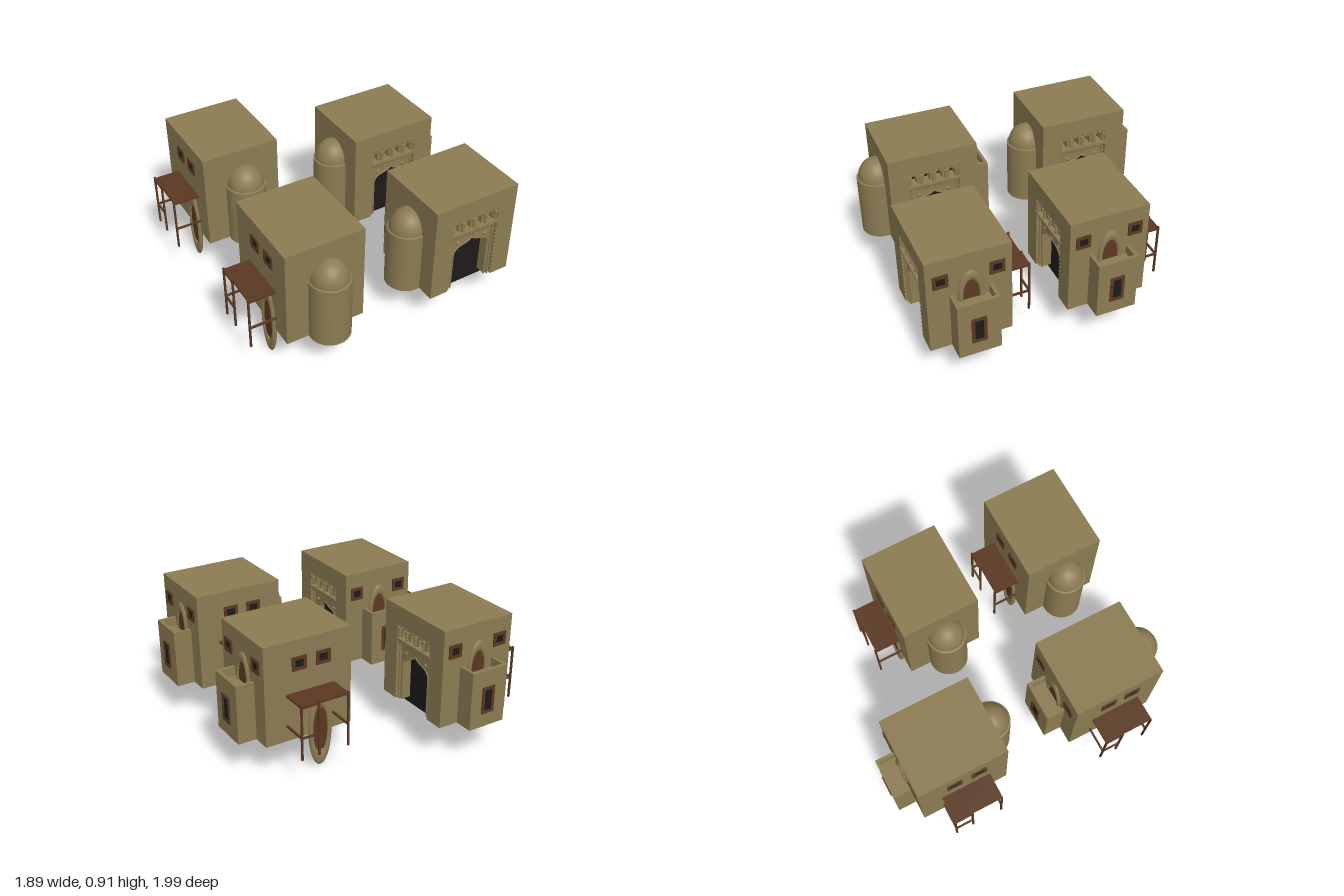
import * as THREE from 'three';

const mat = (color) => new THREE.MeshStandardMaterial({ color, side: THREE.DoubleSide });
const clay = mat(0x8b7b52), wood = mat(0x5a3822), dark = mat(0x1c1b1a);

function add(parent, name, geometry, material, x = 0, y = 0, z = 0) {
  const mesh = new THREE.Mesh(geometry, material);
  mesh.name = name;
  mesh.position.set(x, y, z);
  parent.add(mesh);
  return mesh;
}

// box given by its limits on each axis
function block(parent, name, material, [x0, x1], [y0, y1], [z0, z1]) {
  return add(parent, name, new THREE.BoxGeometry(x1 - x0, y1 - y0, z1 - z0), material,
    (x0 + x1) / 2, (y0 + y1) / 2, (z0 + z1) / 2);
}

function rectPath(x0, y0, x1, y1) {
  const p = new THREE.Path();
  p.moveTo(x0, y0).lineTo(x0, y1).lineTo(x1, y1).lineTo(x1, y0).closePath();
  return p;
}

// pointed ogee outline of the doorway, from left foot to right foot
function archPoints() {
  const half = [
    ...new THREE.QuadraticBezierCurve(new THREE.Vector2(0.135, 0.51), new THREE.Vector2(0.13, 0.56), new THREE.Vector2(0.07, 0.572)).getPoints(6),
    ...new THREE.QuadraticBezierCurve(new THREE.Vector2(0.07, 0.572), new THREE.Vector2(0.025, 0.58), new THREE.Vector2(0, 0.602)).getPoints(4).slice(1),
  ];
  const right = [new THREE.Vector2(0.135, 0.245), ...half];
  const left = right.slice(0, -1).map((p) => new THREE.Vector2(-p.x, p.y));
  return [...left, ...right.reverse()];
}

// wall outline with the bottom edge notched by the given points
function wallShape(notch) {
  return new THREE.Shape([
    new THREE.Vector2(-0.305, 0.245), ...notch, new THREE.Vector2(0.305, 0.245),
    new THREE.Vector2(0.305, 0.91), new THREE.Vector2(-0.305, 0.91)]);
}

const extrude = (shape, depth) => new THREE.ExtrudeGeometry(shape, { depth, bevelEnabled: false, curveSegments: 8 });

// framed window facing local +z
function windowUnit(name, w, h) {
  const g = new THREE.Group(), f = 0.02;
  g.name = name;
  const s = new THREE.Shape(rectPath(-w / 2, -h / 2, w / 2, h / 2).getPoints());
  s.holes.push(rectPath(-w / 2 + f, -h / 2 + f, w / 2 - f, h / 2 - f));
  add(g, 'windowFrame', extrude(s, 0.012), wood, 0, 0, -0.004);
  add(g, 'windowPane', new THREE.BoxGeometry(w - f, h - f, 0.006), dark);
  return g;
}

// tall oval ring with a wooden panel, facing local +z
function ovalNiche(name, w, h, panelHeight, panelY) {
  const g = new THREE.Group();
  g.name = name;
  const ring = add(g, 'ovalRing', new THREE.TorusGeometry(0.8, 0.2, 10, 40), clay);
  ring.scale.set(w, h, 0.08);
  add(g, 'ovalPanel', new THREE.BoxGeometry(w * 1.25, panelHeight, 0.012), wood, 0, panelY, 0);
  return g;
}

function place(parent, child, x, y, z, turn) {
  child.position.set(x, y, z);
  child.rotation.y = turn;
  parent.add(child);
}

function portal(house) {
  const V = (x, y) => new THREE.Vector2(x, y);
  // outer wall layer with a stepped portal recess and a gallery opening
  const outer = wallShape([V(-0.173, 0.245), V(-0.173, 0.665), V(0.173, 0.665), V(0.173, 0.245)]);
  outer.holes.push(rectPath(-0.173, 0.685, 0.173, 0.78));
  add(house, 'frontWall', extrude(outer, 0.025), clay, 0, 0, 0.24);

  // inner layer with the pointed doorway and four small arches
  const arch = archPoints();
  const inner = wallShape(arch);
  const bays = [-0.132, -0.042, 0.042, 0.132];
  bays.forEach((x) => {
    const p = new THREE.Path();
    p.moveTo(x - 0.019, 0.688).lineTo(x + 0.019, 0.688).lineTo(x + 0.019, 0.73);
    p.absarc(x, 0.73, 0.019, 0, Math.PI, false).closePath();
    inner.holes.push(p);
  });
  add(house, 'doorwayWall', extrude(inner, 0.07), clay, 0, 0, 0.17);
  block(house, 'galleryShadow', dark, [-0.17, 0.17], [0.68, 0.76], [0.165, 0.18]);
  block(house, 'doorway', dark, [-0.2175, 0.2175], [0.2, 0.615], [0.035, 0.173]);

  // mouldings around the doorway
  const curve = new THREE.CurvePath();
  for (let i = 1; i < arch.length; i++) {
    curve.add(new THREE.LineCurve3(new THREE.Vector3(arch[i - 1].x, arch[i - 1].y, 0), new THREE.Vector3(arch[i].x, arch[i].y, 0)));
  }
  add(house, 'archMoulding', new THREE.TubeGeometry(curve, 90, 0.006, 6), clay, 0, 0, 0.24);
  for (const s of [-1, 1]) {
    add(house, 'portalColumn', new THREE.CylinderGeometry(0.009, 0.009, 0.4, 10), clay, s * 0.158, 0.445, 0.245);
    const boss = add(house, 'roundBoss', new THREE.SphereGeometry(0.016, 12, 8), clay, s * 0.103, 0.592, 0.24);
    boss.scale.z = 0.6;
    for (let i = 0; i < 12; i++) {
      add(house, 'columnBead', new THREE.SphereGeometry(0.007, 6, 5), clay, s * 0.17, 0.27 + i * 0.031, 0.262);
    }
  }
  // toothed frieze, gallery columns and hanging teeth
  for (let i = 0; i < 18; i++) {
    const x = -0.162 + i * 0.324 / 17;
    const tooth = add(house, 'friezeTooth', new THREE.ConeGeometry(0.009, 0.024, 4), clay, x, 0.653, 0.255);
    tooth.rotation.x = Math.PI;
    if (i % 2) block(house, 'galleryTooth', clay, [x - 0.008, x + 0.008], [0.762, 0.78], [0.24, 0.26]);
  }
  for (const x of [-0.165, -0.087, 0, 0.087, 0.165]) {
    add(house, 'galleryColumn', new THREE.CylinderGeometry(0.009, 0.011, 0.06, 8), clay, x, 0.715, 0.25);
    block(house, 'galleryCapital', clay, [x - 0.014, x + 0.014], [0.742, 0.756], [0.236, 0.263]);
  }
  block(house, 'gallerySill', clay, [-0.178, 0.178], [0.676, 0.688], [0.24, 0.27]);
}

function sideBay(house) {
  // open-topped bay with parapet
  block(house, 'bayBody', clay, [0.3, 0.43], [0.245, 0.58], [-0.143, 0.127]);
  block(house, 'bayParapetFront', clay, [0.408, 0.43], [0.58, 0.64], [-0.143, 0.127]);
  block(house, 'bayParapetEnd', clay, [0.3, 0.408], [0.58, 0.64], [-0.143, -0.121]);
  block(house, 'bayParapetEnd', clay, [0.3, 0.408], [0.58, 0.64], [0.105, 0.127]);
  place(house, windowUnit('bayWindow', 0.095, 0.185), 0.43, 0.432, -0.004, Math.PI / 2);
  place(house, ovalNiche('bayArch', 0.082, 0.19, 0.24, 0), 0.305, 0.6, -0.008, Math.PI / 2);
  for (const z of [-0.173, 0.177]) {
    place(house, windowUnit('sideWindow', 0.095, 0.09), 0.307, 0.76, z, Math.PI / 2);
  }
}

function awning(house) {
  const zo = -0.442, r = 0.006;
  block(house, 'awningDeck', wood, [-0.18, 0.16], [0.552, 0.566], [-0.44, -0.262]);
  for (const x of [-0.172, 0.036, 0.156]) {
    block(house, 'awningPost', wood, [x - r, x + r], [0.2, 0.575], [zo - r, zo + r]);
  }
  for (const x of [-0.172, 0.156]) {
    block(house, 'awningSideRail', wood, [x - r, x + r], [0.345, 0.357], [zo, -0.262]);
  }
  block(house, 'awningFrontRail', wood, [0.036, 0.156], [0.345, 0.357], [zo - r, zo + r]);
  block(house, 'awningFrontBeam', wood, [0.036, 0.156], [0.55, 0.566], [zo - r, zo + r]);
  place(house, ovalNiche('backOval', 0.083, 0.26, 0.29, 0), -0.076, 0.262, -0.267, Math.PI);
  for (const x of [-0.103, 0.065]) {
    place(house, windowUnit('backWindow', 0.1, 0.09), x, 0.757, -0.267, Math.PI);
  }
}

function domeTower(house) {
  // round tower with set-back dome
  const profile = [[0, 0.245], [0.133, 0.245], [0.133, 0.662], [0.13, 0.666], [0.121, 0.668]]
    .map(([x, y]) => new THREE.Vector2(x, y));
  const tower = new THREE.CylinderGeometry(0.133, 0.133, 0.42, 32);
  add(house, 'tower', tower, clay, -0.328, 0.455, 0.013);
  add(house, 'towerRim', new THREE.LatheGeometry(profile.slice(2), 32), clay, -0.328, 0, 0.013);
  const dome = add(house, 'dome', new THREE.SphereGeometry(0.121, 32, 12, 0, Math.PI * 2, 0, Math.PI / 2), clay, -0.328, 0.665, 0.013);
  dome.scale.y = 1.12;
}

function createHouse() {
  const house = new THREE.Group();
  house.name = 'house';
  block(house, 'houseBody', clay, [-0.305, 0.305], [0.245, 0.91], [-0.266, 0.17]);
  portal(house);
  sideBay(house);
  awning(house);
  domeTower(house);
  return house;
}

export function createModel() {
  const model = new THREE.Group();
  model.name = 'houses';
  // two houses face forward, two are turned a quarter
  const layout = [
    [0.5, 0.676, 0.01], [0.495, -0.226, 0.01],
    [-0.5, 0.532, Math.PI / 2], [-0.5, -0.56, Math.PI / 2],
  ];
  for (const [x, z, turn] of layout) place(model, createHouse(), x, 0, z, turn);
  return model;
}
